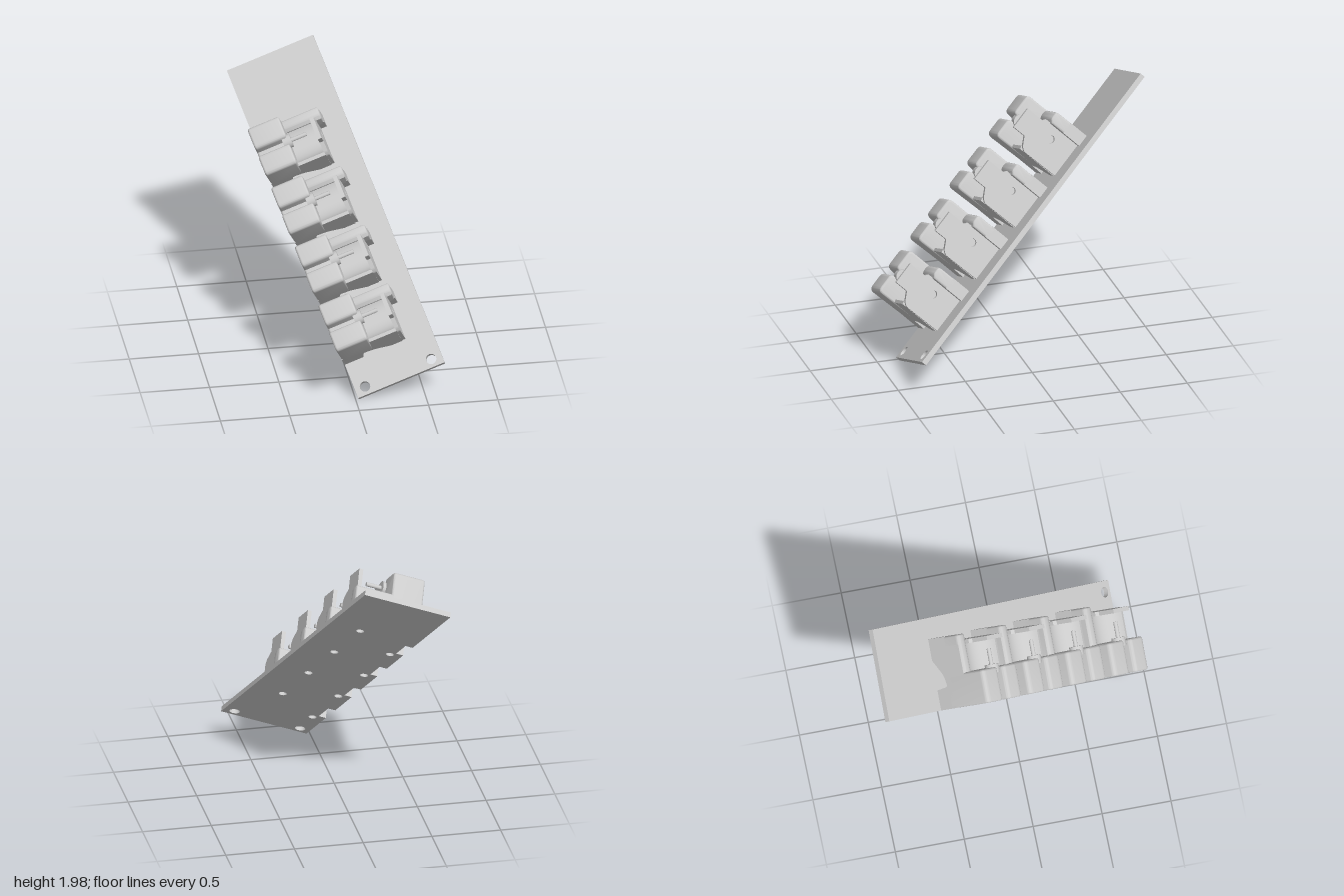
import * as THREE from 'three';
import { toCreasedNormals } from 'three/addons/utils/BufferGeometryUtils.js';

// Local frame: x across the plate, y along it, z out of it
const X = new THREE.Vector3(1, 0, 0), Y = new THREE.Vector3(0, 1, 0), Z = new THREE.Vector3(0, 0, 1);
const ACROSS = new THREE.Matrix4().makeBasis(Y, Z, X); // profile (y, z), extruded along x
const ALONG = new THREE.Matrix4().makeBasis(Z, X, Y); // profile (z, x), extruded along y
const material = new THREE.MeshStandardMaterial({ color: 0xcccccc });

function addMesh(parent, name, geometry) {
  const mesh = new THREE.Mesh(geometry, material);
  mesh.name = name;
  parent.add(mesh);
  return mesh;
}

// Closed outline; points are [x, y, cornerRadius]
function outline(points) {
  const shape = new THREE.Shape();
  points.forEach(([x, y, r = 0], i) => {
    const p = new THREE.Vector2(x, y);
    const prev = points[(i + points.length - 1) % points.length];
    const next = points[(i + 1) % points.length];
    const toward = q => new THREE.Vector2(q[0], q[1]).sub(p).setLength(r).add(p);
    const a = toward(prev), b = toward(next);
    if (i === 0) shape.moveTo(a.x, a.y); else shape.lineTo(a.x, a.y);
    if (r > 0) shape.quadraticCurveTo(x, y, b.x, b.y);
  });
  shape.closePath();
  return shape;
}

function hole(shape, x, y, r) {
  const path = new THREE.Path();
  path.absarc(x, y, r, 0, Math.PI * 2, true);
  shape.holes.push(path);
}

// Extrude from start to end, with optional rounded end edges
function extrude(shape, start, end, basis, bevel = 0) {
  const g = new THREE.ExtrudeGeometry(shape, {
    depth: end - start - 2 * bevel, curveSegments: 10, bevelEnabled: bevel > 0,
    bevelSize: bevel, bevelThickness: bevel, bevelOffset: -bevel, bevelSegments: 4,
  });
  g.translate(0, 0, start + bevel);
  if (basis) g.applyMatrix4(basis);
  return toCreasedNormals(g, 0.6);
}

const WIDTH = 0.665, LENGTH = 2.6, THICK = 0.038, PITCH = 0.466, COUNT = 4;
const AXIS = { y: 0.445, z: 0.385 };

function createPlate(parent) {
  const points = [[0, 0], [WIDTH, 0], [WIDTH, LENGTH], [0, LENGTH]];
  // Notches in the left edge, one behind each holder
  for (let i = COUNT - 1; i >= 0; i--) {
    const y = i * PITCH;
    points.push([0, y + 0.52], [0.055, y + 0.52], [0.055, y + 0.35], [0, y + 0.35]);
  }
  const shape = outline(points);
  hole(shape, 0.075, 0.06, 0.038);
  hole(shape, 0.585, 0.06, 0.038);
  for (let i = 0; i < COUNT; i++) {
    hole(shape, 0.085, i * PITCH + 0.308, 0.029);
    hole(shape, 0.43, i * PITCH + 0.57, 0.029);
  }
  addMesh(parent, 'basePlate', extrude(shape, -THICK, 0));
}

function createHolder() {
  const holder = new THREE.Group();
  holder.name = 'holder';

  // Foot slices with a channel underneath; one slice has the edge notch
  for (const [y0, y1, right, notch] of [
    [0.265, 0.35, 0.445, false], [0.35, 0.52, 0.445, true],
    [0.52, 0.54, 0.445, false], [0.54, 0.63, 0.515, false],
  ]) {
    const left = notch ? [[0.06, 0], [0.06, 0.055], [0, 0.055]] : [[0, 0]];
    const shape = outline([
      ...left, [0, 0.145], [0.1, 0.16, 0.02], [0.085, 0.24, 0.03], [0, 0.36],
      [0, right], [0.15, right], [0.15, 0],
    ]);
    addMesh(holder, 'foot', extrude(shape, y0, y1, ALONG));
  }

  // Tall side block with a slot across its top
  const side = outline([
    [0.265, 0.11], [0.63, 0.11], [0.63, 0.455, 0.035], [0.465, 0.455, 0.03],
    [0.455, 0.37], [0.415, 0.37], [0.41, 0.46, 0.03], [0.255, 0.46, 0.04],
  ]);
  addMesh(holder, 'sideBlock', extrude(side, 0, 0.24, ACROSS, 0.015));

  // Cradle with a round trough about the pin axis
  const cradle = new THREE.Shape();
  cradle.moveTo(0.265, 0.11);
  cradle.lineTo(0.63, 0.11);
  cradle.lineTo(0.63, 0.27);
  cradle.absarc(AXIS.y, AXIS.z, 0.17, -0.75, -Math.PI + 0.39, true);
  cradle.lineTo(0.265, 0.315);
  cradle.closePath();
  addMesh(holder, 'cradle', extrude(cradle, 0.22, 0.445, ACROSS));

  // Rounded rear ridge, reaching past the end wall
  const ridge = outline([
    [0.54, 0.11], [0.63, 0.11], [0.63, 0.285, 0.03], [0.565, 0.285, 0.02], [0.54, 0.26],
  ]);
  addMesh(holder, 'rearRidge', extrude(ridge, 0.22, 0.515, ACROSS, 0.015));

  // End wall with a raised ear and a screw hole
  const wall = outline([
    [0.27, 0], [0.545, 0], [0.545, 0.3], [0.523, 0.316], [0.523, 0.455],
    [0.355, 0.455], [0.355, 0.353], [0.287, 0.315, 0.01], [0.265, 0.285, 0.01],
  ]);
  hole(wall, 0.4545, 0.185, 0.03);
  addMesh(holder, 'endWall', extrude(wall, 0.44, 0.47, ACROSS));

  // Hub and pin
  for (const [name, r, x0, x1] of [['hub', 0.05, 0.2, 0.262], ['pin', 0.015, 0.2, 0.376]]) {
    const g = new THREE.CylinderGeometry(r, r, x1 - x0, 24);
    g.rotateZ(-Math.PI / 2);
    addMesh(holder, name, g).position.set((x0 + x1) / 2, AXIS.y, AXIS.z);
  }
  return holder;
}

export function createModel() {
  const model = new THREE.Group();
  model.name = 'holderRack';
  const tilted = new THREE.Group();
  tilted.name = 'tiltedRack';
  createPlate(tilted);

  const first = createHolder();
  for (let i = 0; i < COUNT; i++) {
    const holder = i === 0 ? first : first.clone();
    holder.position.y = i * PITCH;
    tilted.add(holder);
  }

  // Lean back 45 degrees, then roll to the side
  tilted.rotation.set(-Math.PI / 4, 0, THREE.MathUtils.degToRad(21), 'ZYX');
  tilted.position.set(0.015, 0.025, 0.865);
  model.add(tilted);
  return model;
}
